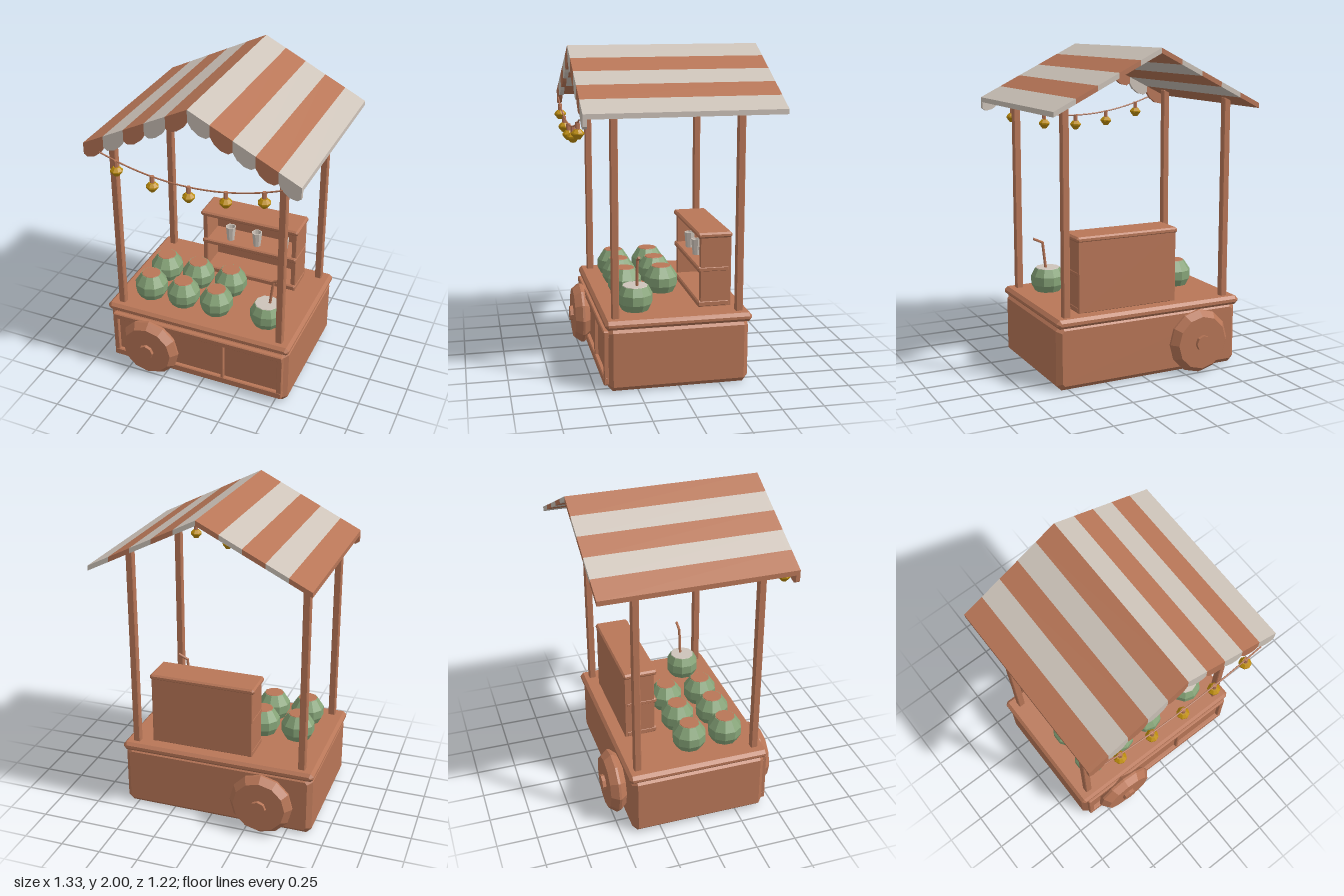
import * as THREE from 'three';

const material = (name, color) => {
  const m = new THREE.MeshStandardMaterial({ color });
  m.name = name;
  return m;
};

export function createModel() {
  const model = new THREE.Group();
  model.name = 'marketCart';
  const wood = material('terracotta wood', 0xb87657);
  const cream = material('cream', 0xcdc3b9);
  const green = material('melon green', 0x86a478);
  const gold = material('lantern gold', 0xbd8d0c);

  const add = (name, geometry, mat, parent = model) => {
    const mesh = new THREE.Mesh(geometry, mat);
    mesh.name = name;
    parent.add(mesh);
    return mesh;
  };

  // Box between two corners, with every edge chamfered by b
  const block = (name, [x0, y0, z0], [x1, y1, z1], b, parent = model) => {
    const w = (x1 - x0) / 2 - b, h = (y1 - y0) / 2 - b, c = b * 0.5;
    const shape = new THREE.Shape([
      [-w + c, -h], [w - c, -h], [w, -h + c], [w, h - c],
      [w - c, h], [-w + c, h], [-w, h - c], [-w, -h + c],
    ].map(p => new THREE.Vector2(...p)));
    const g = new THREE.ExtrudeGeometry(shape, {
      depth: z1 - z0 - 2 * b, bevelEnabled: true, bevelSegments: 1, bevelSize: b, bevelThickness: b,
    });
    g.translate((x0 + x1) / 2, (y0 + y1) / 2, z0 + b);
    return add(name, g, wood, parent);
  };

  // Faceted turned solid; profile runs from bottom to top
  const turned = (profile, sides) => {
    const g = new THREE.LatheGeometry(profile.map(p => new THREE.Vector2(...p)), sides).toNonIndexed();
    g.computeVertexNormals();
    return g;
  };

  const rod = (name, a, b, r) => {
    const from = new THREE.Vector3(...a), to = new THREE.Vector3(...b);
    const dir = to.clone().sub(from);
    const mesh = add(name, new THREE.CylinderGeometry(r, r, dir.length(), 6), wood);
    mesh.position.copy(from).add(to).multiplyScalar(0.5);
    mesh.quaternion.setFromUnitVectors(new THREE.Vector3(0, 1, 0), dir.normalize());
  };

  // Cart body, counter and raised front frame
  block('cartBody', [-0.655, 0, -0.425], [0.575, 0.4, 0.43], 0.03);
  block('counterTop', [-0.665, 0.385, -0.445], [0.582, 0.44, 0.445], 0.018);
  block('frameTop', [-0.625, 0.335, 0.42], [0.55, 0.375, 0.455], 0.006);
  block('frameBottom', [-0.625, 0.04, 0.42], [0.55, 0.09, 0.455], 0.006);
  for (const [x0, x1] of [[-0.625, -0.59], [0.135, 0.155], [0.515, 0.55]]) {
    block('frameUpright', [x0, 0.08, 0.42], [x1, 0.345, 0.453], 0.004);
  }

  // One wheel on the front and one on the back
  const wheelShape = turned([[0, 0], [0.165, 0], [0.2, 0.04], [0.2, 0.055], [0.165, 0.1], [0, 0.1]], 12);
  const hubShape = turned([[0, 0.09], [0.05, 0.09], [0.05, 0.122], [0, 0.122]], 8);
  for (const side of [1, -1]) {
    const wheel = new THREE.Group();
    wheel.name = side > 0 ? 'frontWheel' : 'backWheel';
    add('wheelDisc', wheelShape, wood, wheel);
    add('wheelHub', hubShape, wood, wheel);
    wheel.rotation.x = side * Math.PI / 2;
    wheel.position.set(-0.35, 0.2, side * 0.427);
    model.add(wheel);
  }

  // Roof posts
  for (const [x, top] of [[-0.58, 1.69], [0.502, 1.73]]) {
    for (const z of [0.376, -0.377]) {
      block('roofPost', [x - 0.022, 0.43, z - 0.022], [x + 0.022, top, z + 0.022], 0.005);
    }
  }

  // Striped gable roof with a scalloped front valance, one stripe at a time
  const stripe = 0.133;
  const roofY = x => 2 - 0.5 * Math.abs(x);
  const slab = (name, points, z0, z1, mat) => {
    const g = new THREE.ExtrudeGeometry(
      new THREE.Shape(points.map(p => new THREE.Vector2(...p))),
      { depth: z1 - z0, bevelEnabled: false });
    add(name, g.translate(0, 0, z0), mat);
  };
  for (let i = -5; i < 5; i++) {
    const x0 = i * stripe, x1 = x0 + stripe;
    const mat = i % 2 ? wood : cream;
    slab('roofStripe', [[x0, roofY(x0) - 0.03], [x1, roofY(x1) - 0.03], [x1, roofY(x1)], [x0, roofY(x0)]],
      -0.608, 0.545, mat);
    const hem = [[0, 0.07], [0.18, 0.098], [0.5, 0.11], [0.82, 0.098], [1, 0.07]]
      .map(([t, drop]) => [x0 + t * stripe, roofY(x0 + t * stripe) - drop]);
    slab('valanceScallop', [...hem, [x1, roofY(x1)], [x0, roofY(x0)]], 0.545, 0.57, mat);
  }

  // Hanging string with five lanterns
  const stringY = x => 1.525 + 0.335 * x * x;
  const stringPoints = [];
  for (let i = -6; i <= 6; i++) {
    const x = i * 0.0935;
    stringPoints.push(new THREE.Vector3(x, stringY(x), 0.572));
  }
  add('lightString', new THREE.TubeGeometry(new THREE.CatmullRomCurve3(stringPoints), 24, 0.005, 5), wood);
  const bulb = turned([[0, -0.095], [0.015, -0.095], [0.038, -0.066], [0.038, -0.058], [0.02, -0.038], [0, -0.038]], 8);
  const socket = turned([[0, -0.042], [0.013, -0.042], [0.013, 0.004], [0, 0.004]], 6);
  for (let i = -2; i <= 2; i++) {
    const lantern = new THREE.Group();
    lantern.name = 'lantern';
    add('lanternBulb', bulb, gold, lantern);
    add('lanternSocket', socket, wood, lantern);
    lantern.position.set(i * 0.2275, stringY(i * 0.2275), 0.572);
    model.add(lantern);
  }

  // Shelf unit at the back of the counter
  const shelf = new THREE.Group();
  shelf.name = 'shelfUnit';
  model.add(shelf);
  block('shelfBack', [-0.24, 0.44, -0.355], [0.395, 0.88, -0.33], 0.003, shelf);
  for (const x of [-0.25, 0.375]) {
    block('shelfSide', [x, 0.435, -0.355], [x + 0.032, 0.88, -0.162], 0.004, shelf);
  }
  block('shelfTop', [-0.262, 0.868, -0.36], [0.417, 0.903, -0.145], 0.01, shelf);
  block('shelfMiddle', [-0.252, 0.657, -0.345], [0.41, 0.692, -0.147], 0.008, shelf);
  block('shelfBottom', [-0.252, 0.438, -0.345], [0.41, 0.478, -0.147], 0.008, shelf);

  // Cups on the middle shelf
  const cupShape = turned([[0, 0], [0.025, 0], [0.035, 0.1], [0.028, 0.1], [0.022, 0.03], [0, 0.03]], 8);
  for (const x of [-0.072, 0.115, 0.303]) {
    add('cup', cupShape, cream).position.set(x, 0.692, -0.21);
  }

  // Two rows of three melons with flat brown tops
  const melonShape = turned([[0, 0], [0.082, 0], [0.106, 0.045], [0.106, 0.1], [0.065, 0.163], [0, 0.163]], 10);
  const capShape = turned([[0, 0], [0.063, 0], [0.06, 0.005], [0, 0.005]], 10);
  for (const x of [-0.445, -0.215, 0.017]) {
    for (const z of [0.235, 0]) {
      add('melon', melonShape, green).position.set(x, 0.44, z);
      add('melonCap', capShape, wood).position.set(x, 0.601, z);
    }
  }

  // Opened melon with pale flesh and a bent straw
  const openShape = turned([[0, 0], [0.082, 0], [0.106, 0.045], [0.106, 0.1], [0.08, 0.149], [0, 0.149]], 10);
  const fleshShape = turned([[0, 0], [0.079, 0], [0.076, 0.005], [0, 0.005]], 10);
  add('openMelon', openShape, green).position.set(0.36, 0.44, 0.23);
  add('melonFlesh', fleshShape, cream).position.set(0.36, 0.587, 0.23);
  rod('straw', [0.375, 0.58, 0.222], [0.396, 0.76, 0.222], 0.009);
  rod('strawTip', [0.394, 0.756, 0.222], [0.457, 0.786, 0.222], 0.009);

  return model;
}
